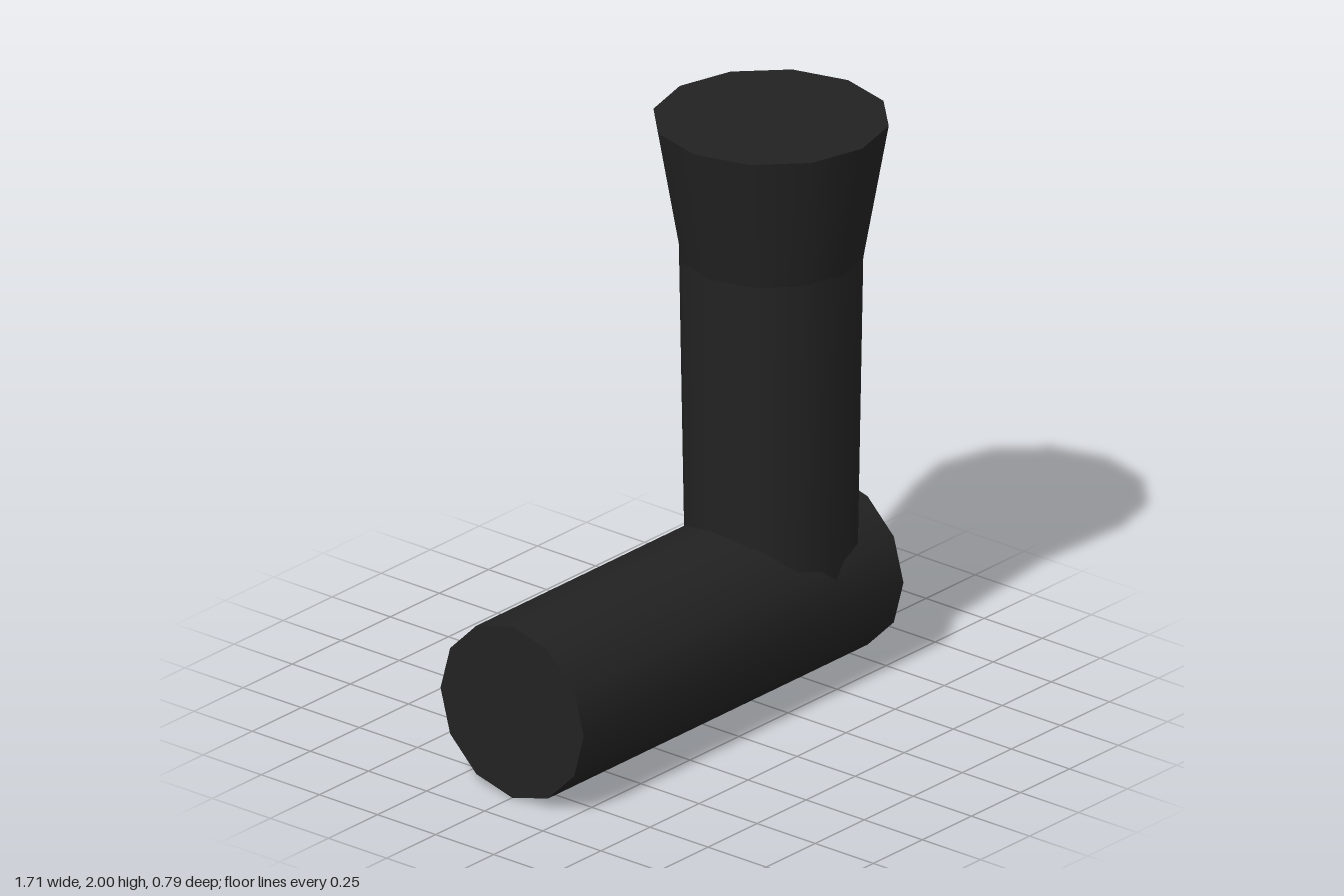
import * as THREE from 'three';

const SIDES = 12;
const RADIUS = 0.308;
const POST_X = 0.46;

export function createModel() {
  const model = new THREE.Group();
  model.name = 'elbowPipe';
  const black = new THREE.MeshStandardMaterial({ color: 0x222222 });
  black.name = 'black';

  const add = (name, geometry, x, y) => {
    const mesh = new THREE.Mesh(geometry, black);
    mesh.name = name;
    mesh.position.set(x, y, 0);
    model.add(mesh);
  };

  // Horizontal barrel lying along x
  const barrel = new THREE.CylinderGeometry(RADIUS, RADIUS, 1.63, SIDES);
  barrel.rotateZ(Math.PI / 2);
  add('barrel', barrel, -0.045, RADIUS);

  // Upright post, slightly narrowed in z where it sinks into the barrel
  const post = new THREE.CylinderGeometry(RADIUS, RADIUS, 1.21, SIDES, 1, true);
  const p = post.attributes.position;
  for (let i = 0; i < p.count; i++) {
    if (p.getY(i) < 0) p.setZ(i, p.getZ(i) * 0.9);
  }
  add('post', post, POST_X, 0.915);

  // Flared, capped mouth
  add('flare', new THREE.CylinderGeometry(0.393, RADIUS, 0.48, SIDES), POST_X, 1.76);

  return model;
}
